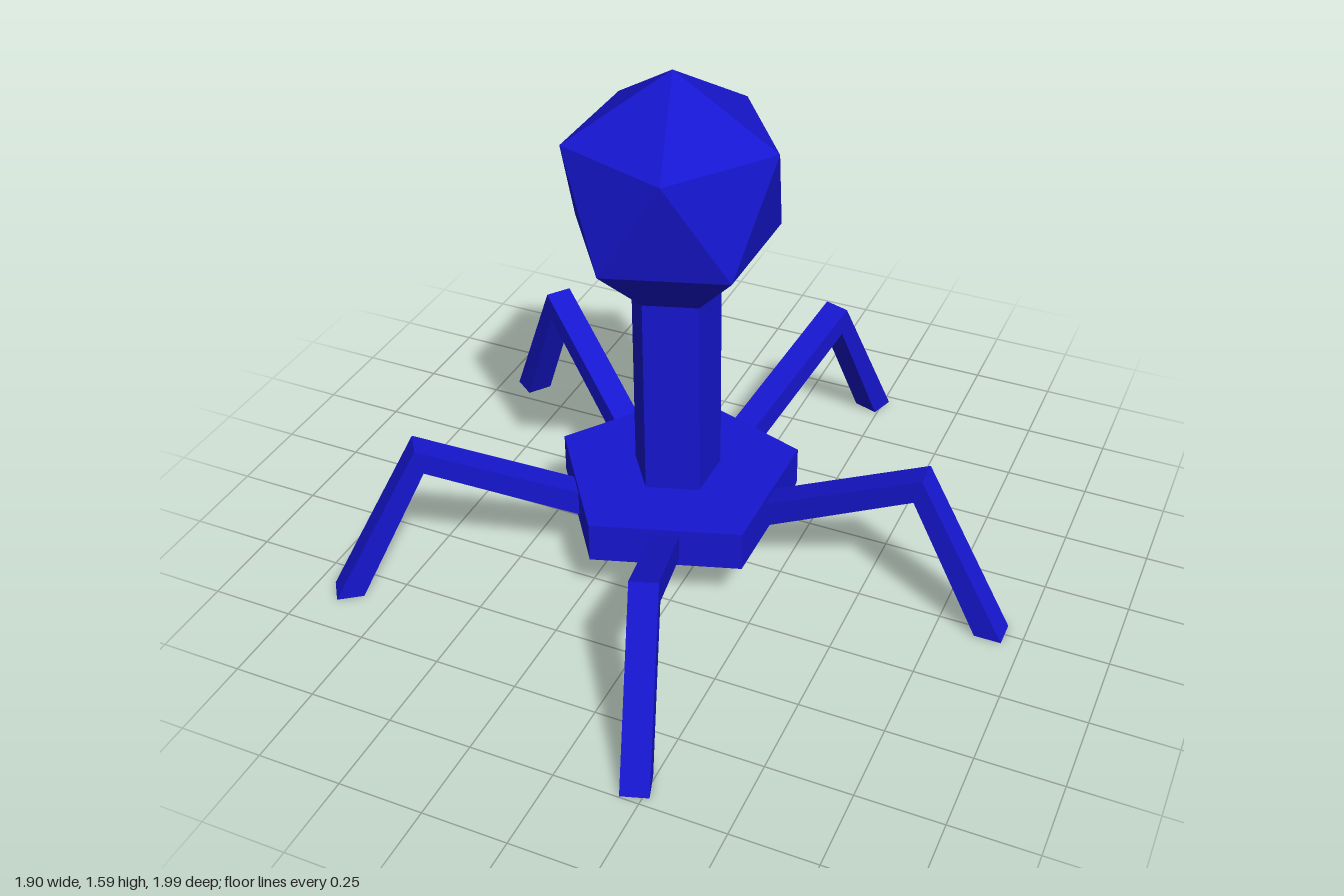
import * as THREE from 'three';

const SIDES = 5;
const STEP = (Math.PI * 2) / SIDES;

const material = new THREE.MeshStandardMaterial({
  color: 0x1616d0, flatShading: true, side: THREE.DoubleSide,
});

// Skin a list of equal-sized point rings, optionally closing the last one
function loft(rings, capEnd = false) {
  const pos = [];
  const tri = (a, b, c) => {
    const p = [a, b, c].map((v) => new THREE.Vector3(...v));
    if (new THREE.Triangle(...p).getArea() > 1e-6) pos.push(...a, ...b, ...c);
  };
  for (let i = 0; i < rings.length - 1; i++) {
    const n = rings[i].length;
    for (let j = 0; j < n; j++) {
      const k = (j + 1) % n;
      tri(rings[i][j], rings[i][k], rings[i + 1][j]);
      tri(rings[i][k], rings[i + 1][k], rings[i + 1][j]);
    }
  }
  if (capEnd) {
    const e = rings[rings.length - 1];
    for (let j = 1; j < e.length - 1; j++) tri(e[0], e[j], e[j + 1]);
  }
  const geo = new THREE.BufferGeometry();
  geo.setAttribute('position', new THREE.Float32BufferAttribute(pos, 3));
  geo.computeVertexNormals();
  return geo;
}

// Horizontal pentagon with a corner towards -x, plus an optional twist
function pentagon(radius, y, twist = 0) {
  return Array.from({ length: SIDES }, (_, k) => {
    const a = Math.PI + twist + k * STEP;
    return [radius * Math.cos(a), y, -radius * Math.sin(a)];
  });
}

function add(parent, name, geometry) {
  const mesh = new THREE.Mesh(geometry, material);
  mesh.name = name;
  parent.add(mesh);
  return mesh;
}

export function createModel() {
  const model = new THREE.Group();
  model.name = 'model';
  const body = new THREE.Group();
  body.name = 'body';
  body.position.x = -0.09;
  model.add(body);

  const baseR = 0.375, baseBottom = 0.17, baseTop = 0.295;
  const stemR = 0.135, stemTop = 0.925;
  const headR = 0.305;
  const wallDist = baseR * Math.cos(STEP / 2);
  const wallHalf = baseR * Math.sin(STEP / 2);
  const legHalf = 0.04, legLow = 0.195, legHigh = 0.276;

  // Twenty-sided head whose lower cap narrows into the stem
  add(body, 'head', loft([
    pentagon(stemR, stemTop),
    pentagon(headR, 1.09),
    pentagon(headR, 1.4, STEP / 2),
    pentagon(0, 1.586, STEP / 2),
  ]));

  // Hollow stem and the base plate around its foot
  add(body, 'stem', loft([pentagon(stemR, baseTop), pentagon(stemR, stemTop)]));
  add(body, 'basePlate', loft([pentagon(baseR, baseTop), pentagon(stemR, baseTop)]));

  // Base wall panel with a square socket for the leg
  const wall = new THREE.Shape([
    new THREE.Vector2(-wallHalf, baseBottom), new THREE.Vector2(wallHalf, baseBottom),
    new THREE.Vector2(wallHalf, baseTop), new THREE.Vector2(-wallHalf, baseTop),
  ]);
  wall.holes.push(new THREE.Path([
    new THREE.Vector2(-legHalf, legLow), new THREE.Vector2(-legHalf, legHigh),
    new THREE.Vector2(legHalf, legHigh), new THREE.Vector2(legHalf, legLow),
  ]));
  const wallGeo = new THREE.ShapeGeometry(wall);
  wallGeo.rotateY(Math.PI / 2);
  wallGeo.translate(wallDist, 0, 0);

  // Bent leg: inner/lower and outer/upper points at socket, knee and foot
  const sections = [
    [wallDist, legLow, wallDist, legHigh],
    [0.745, 0.42, 0.765, 0.5],
    [0.955, 0, 1.035, 0],
  ];
  const legGeo = loft(sections.map(([r0, y0, r1, y1]) => [
    [r0, y0, legHalf], [r0, y0, -legHalf], [r1, y1, -legHalf], [r1, y1, legHalf],
  ]), true);

  for (let k = 0; k < SIDES; k++) {
    add(body, 'baseWall', wallGeo).rotation.y = k * STEP;
    add(body, 'leg', legGeo).rotation.y = k * STEP;
  }
  return model;
}
